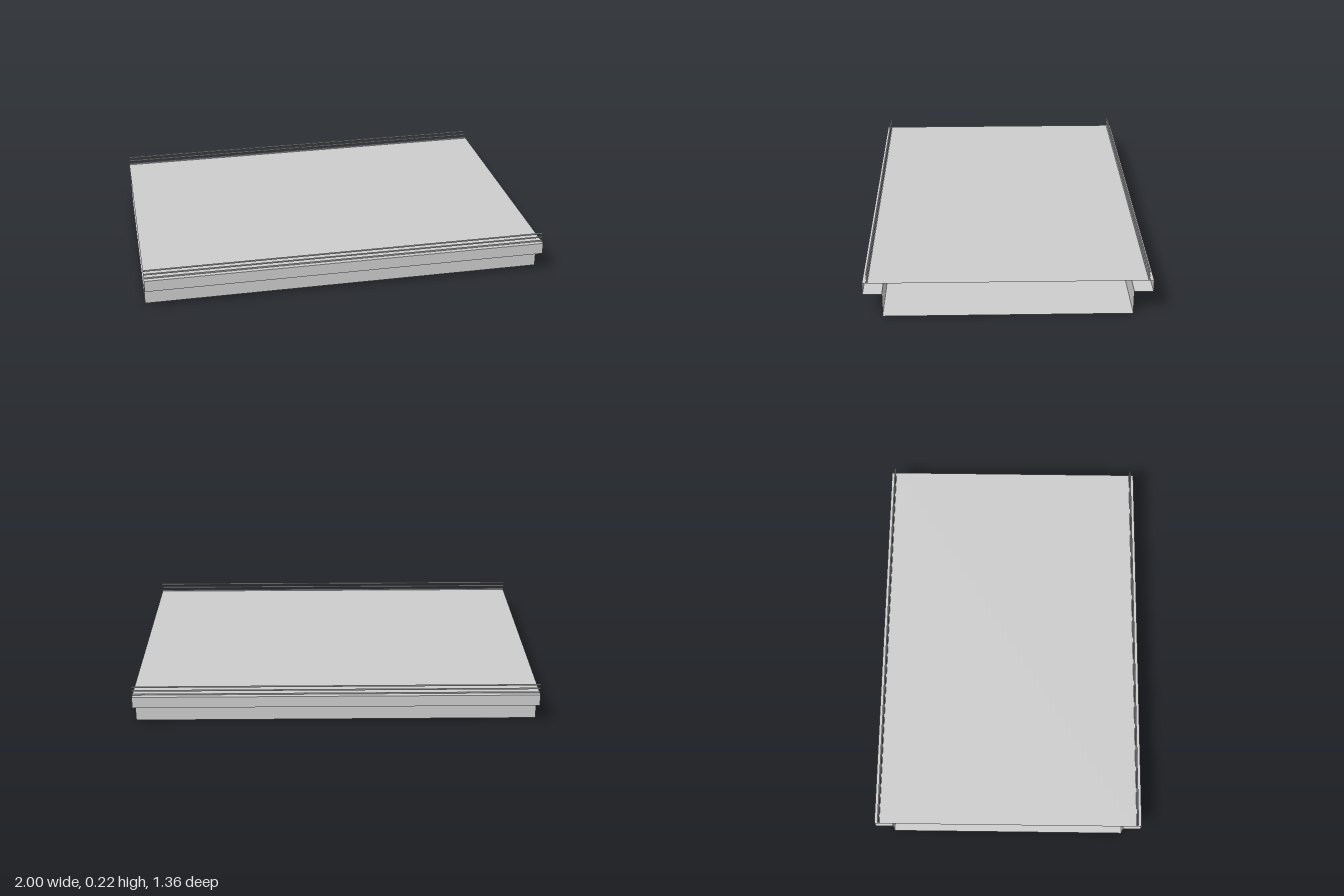
import * as THREE from 'three';

const LENGTH = 2;
const material = new THREE.MeshStandardMaterial({ color: 0xcccccc, flatShading: true, side: THREE.DoubleSide });

// Sweep an open [z, y] profile along x as thin sheet, without end caps
function sheet(name, profile) {
  const positions = [];
  const h = LENGTH / 2;
  for (let i = 0; i < profile.length - 1; i++) {
    const [z0, y0] = profile[i];
    const [z1, y1] = profile[i + 1];
    positions.push(-h, y0, z0, h, y0, z0, h, y1, z1);
    positions.push(-h, y0, z0, h, y1, z1, -h, y1, z1);
  }
  const geometry = new THREE.BufferGeometry();
  geometry.setAttribute('position', new THREE.Float32BufferAttribute(positions, 3));
  geometry.computeVertexNormals();
  const mesh = new THREE.Mesh(geometry, material);
  mesh.name = name;
  return mesh;
}

export function createModel() {
  const group = new THREE.Group();
  group.name = 'deckPanel';

  const wallZ = 0.59, lipZ = 0.68, deckZ = 0.64, railZ = 0.658;
  const flangeY = 0.117, deckY = 0.175;

  // Flat top deck and bottom plate
  group.add(sheet('deck', [[deckZ, deckY], [-deckZ, deckY]]));
  group.add(sheet('bottomPlate', [[-wallZ, 0], [wallZ, 0]]));

  // Open tubes stacked above each long edge
  const railGeometry = new THREE.CylinderGeometry(0.004, 0.004, LENGTH, 8, 1, true).rotateZ(Math.PI / 2);

  for (const [side, s] of [['front', 1], ['back', -1]]) {
    // Side wall, outward flange, lip and top return
    group.add(sheet(side + 'EdgeChannel', [
      [s * wallZ, 0], [s * wallZ, flangeY], [s * lipZ, flangeY], [s * lipZ, deckY], [s * deckZ, deckY],
    ]));

    const rails = new THREE.Group();
    rails.name = side + 'Rails';
    for (const y of [0.18, 0.2, 0.22]) {
      const rail = new THREE.Mesh(railGeometry, material);
      rail.name = 'rail';
      rail.position.set(0, y, s * railZ);
      rails.add(rail);
    }
    group.add(rails);
  }
  return group;
}
